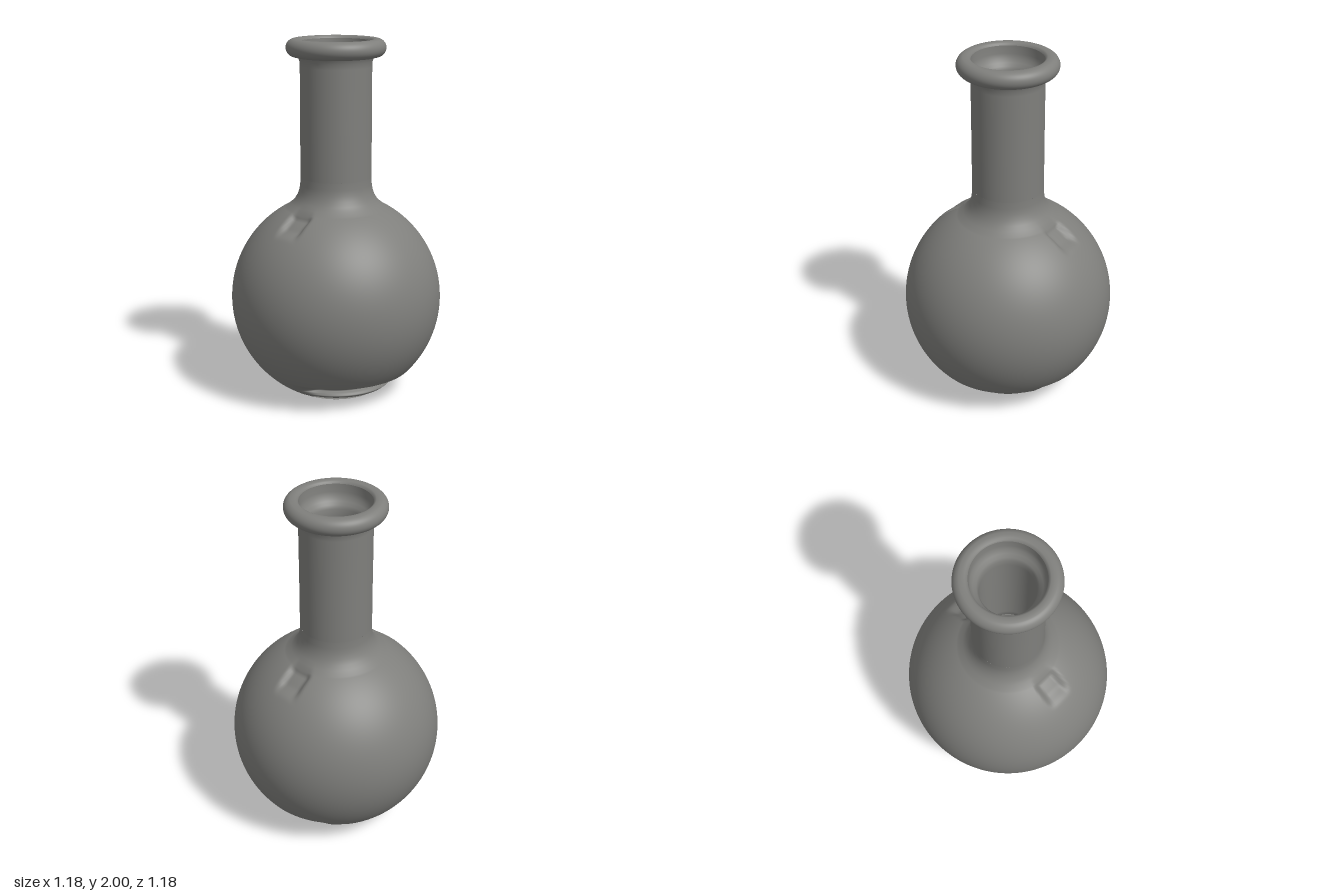
import * as THREE from 'three';
import { mergeVertices } from 'three/addons/utils/BufferGeometryUtils.js';

const R = 0.59, CY = 0.55; // round belly
const step = THREE.MathUtils.smoothstep;
const lerp = THREE.MathUtils.lerp;

// Points along a circular arc (degrees) in the lathe plane
function arc(cx, cy, r, from, to, n) {
  return Array.from({ length: n + 1 }, (_, i) => {
    const a = THREE.MathUtils.degToRad(lerp(from, to, i / n));
    return [cx + r * Math.cos(a), cy + r * Math.sin(a)];
  });
}

// Piecewise linear lookup in [y, radius] pairs
function radiusAt(table, y) {
  for (let i = 1; i < table.length; i++) {
    const [y0, r0] = table[i - 1], [y1, r1] = table[i];
    if (y <= y1) return lerp(r0, r1, THREE.MathUtils.clamp((y - y0) / (y1 - y0), 0, 1));
  }
  return Infinity;
}

// Turn a profile, optionally reshape it, and smooth it across the seam
function turned(profile, segments, reshape) {
  let g = new THREE.LatheGeometry(profile.map(([x, y]) => new THREE.Vector2(x, y)), segments);
  g.deleteAttribute('uv');
  g.deleteAttribute('normal');
  if (reshape) {
    const p = g.attributes.position, v = new THREE.Vector3();
    for (let i = 0; i < p.count; i++) {
      reshape(v.fromBufferAttribute(p, i));
      p.setXYZ(i, v.x, v.y, v.z);
    }
  }
  g = mergeVertices(g, 1e-5);
  g.computeVertexNormals();
  return g;
}

const footProfile = [[0, 0.2], [0.02, 0.21], [0.045, 0.3], [0.06, 0.318], [0.075, 0.308], [0.083, 0.288], [0.095, 0.3], [0.13, 0.39], [0.16, 0.46]];
const scoopProfile = [[0.079, 0.31], [0.086, 0.265], [0.12, 0.325], [0.155, 0.385], [0.17, 0.41], [0.186, 0.463]];

function reshapeBelly(v) {
  const r = Math.hypot(v.x, v.z);
  if (r < 0.2) return;
  let target = r;
  if (v.y > 0.012 && v.y < 0.2) {
    // Foot ring fades out around the back
    const a = Math.atan2(v.z, v.x) - THREE.MathUtils.degToRad(62);
    const off = Math.abs(Math.atan2(Math.sin(a), Math.cos(a)));
    target = lerp(r, Math.min(r, radiusAt(footProfile, v.y)), 1 - step(off, 1.6, 2.05));
    // Scoop above the foot on the left side
    if (v.x > 0 && v.y > 0.079) {
      const w = 1 - step(Math.abs(v.z), 0.2, 0.27);
      target = lerp(target, Math.min(target, radiusAt(scoopProfile, v.y)), w);
    }
  }
  v.x *= target / r;
  v.z *= target / r;
  // Small notch on each shoulder
  if (v.y > 0.9 && v.y < 1.12) {
    const x = Math.abs(v.x);
    const w = step(x, 0.26, 0.3) * (1 - step(x, 0.36, 0.43)) * (1 - step(Math.abs(v.z), 0.045, 0.085));
    const n = new THREE.Vector3(v.x, v.y - CY, v.z).normalize();
    v.addScaledVector(n, -0.028 * w);
  }
}

export function createModel() {
  const group = new THREE.Group();
  const grey = new THREE.MeshStandardMaterial({ color: 0x7f7f7c });
  grey.name = 'grey';
  const add = (name, geometry) => {
    const m = new THREE.Mesh(geometry, grey);
    m.name = name;
    group.add(m);
  };

  // Belly with a dimpled underside, rising into the neck
  add('belly', turned([
    [0, 0.05], [0.05, 0.049], [0.1, 0.042], [0.13, 0.03], [0.155, 0.013], [0.175, 0.003], [0.195, 0], [0.21, 0.003],
    ...arc(0, CY, R, -68, -35, 60),
    ...arc(0, CY, R, -34, 62, 84),
    [0.25, 1.092], [0.23, 1.113], [0.214, 1.14], [0.204, 1.17], [0.199, 1.2], [0.198, 1.24],
  ], 192, reshapeBelly));

  // Straight neck
  add('neck', turned([[0.198, 1.24], [0.197, 1.5], [0.197, 1.85], [0.199, 1.88], [0.208, 1.9]], 96));

  // Rolled lip
  add('lip', turned([
    [0.208, 1.9], [0.222, 1.902],
    ...arc(0.225, 1.952, 0.048, -70, 75, 20),
    [0.224, 2], [0.208, 1.999], [0.199, 1.994], [0.194, 1.985],
  ], 96));

  // Hollow inside with a ledge below the mouth and a raised floor
  add('interior', turned([
    [0.194, 1.985], [0.192, 1.94], [0.186, 1.915], [0.172, 1.895], [0.156, 1.88], [0.147, 1.86], [0.144, 1.82],
    [0.144, 1.2], [0.155, 1.13], [0.19, 1.07],
    ...arc(0, CY, 0.53, 66, -72, 40),
    [0.12, 0.065], [0.08, 0.09], [0.04, 0.1], [0, 0.102],
  ], 96));

  return group;
}
